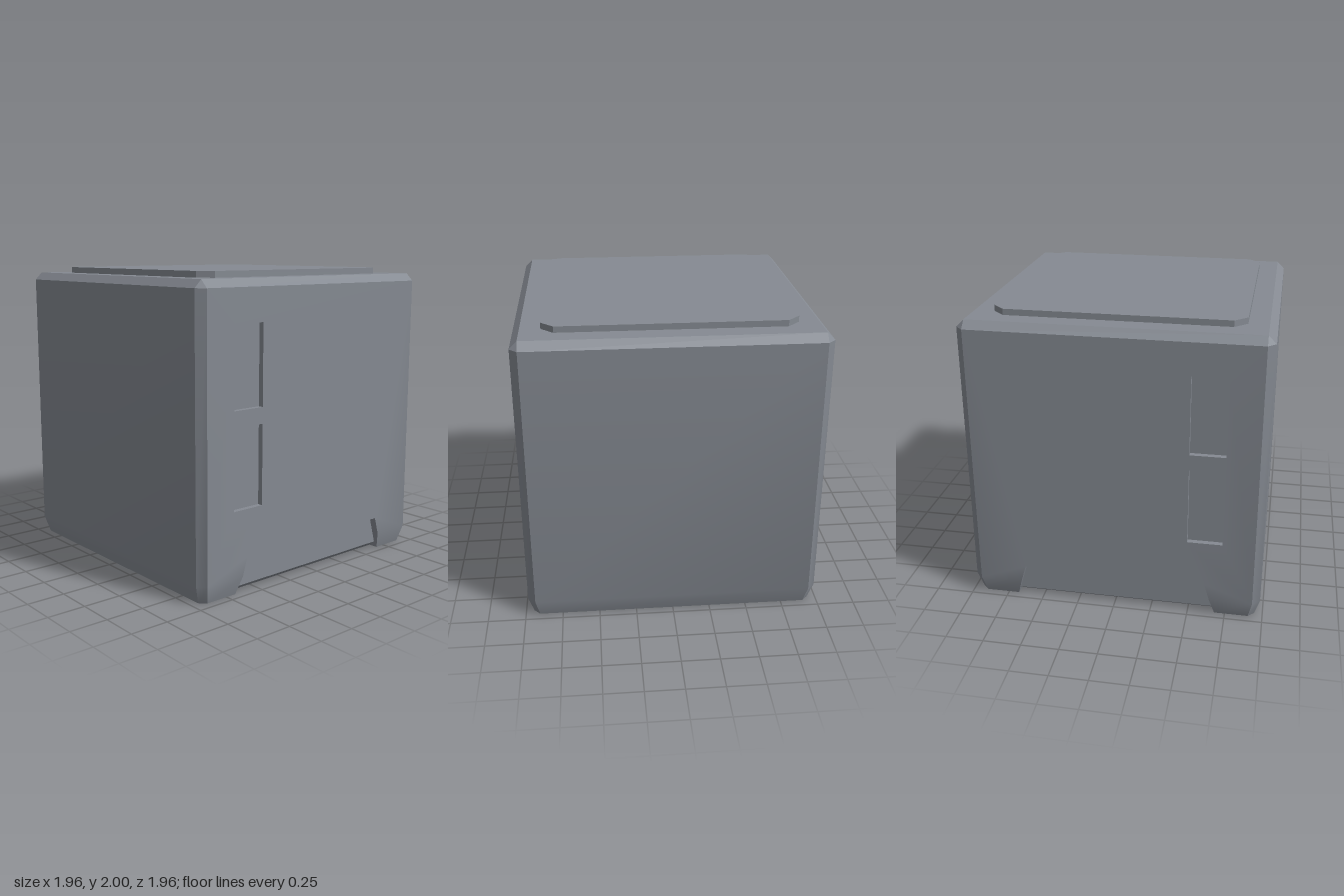
import * as THREE from 'three';
import { toCreasedNormals } from 'three/addons/utils/BufferGeometryUtils.js';

const HALF = 0.98, FLAT = 0.93;      // body half width, half width between the chamfers
const FOOT = 0.945, FOOT_FLAT = 0.905; // the same at the tapered base
const TAPER_Y = 0.12, SHOULDER_Y = 1.91, TOP_Y = 1.96;
const SLOT_FLOOR = 0.945, NOTCH_WALL = 0.93;

// Fan each polygon into triangles, dropping empty ones
function polyGeometry(polys) {
  const out = [];
  const tri = new THREE.Triangle();
  for (const p of polys) {
    for (let i = 1; i < p.length - 1; i++) {
      tri.set(...[p[0], p[i], p[i + 1]].map((v) => new THREE.Vector3(...v)));
      if (tri.getArea() > 1e-8) out.push(...p[0], ...p[i], ...p[i + 1]);
    }
  }
  const g = new THREE.BufferGeometry();
  g.setAttribute('position', new THREE.Float32BufferAttribute(out, 3));
  return toCreasedNormals(g, 0.35);
}

const mirrorX = (polys) => polys.map((p) => p.map(([x, y, z]) => [-x, y, z]).reverse());
const mirrorZ = (p) => p.map(([x, y, z]) => [x, y, -z]).reverse();

// Point on a side wall: u runs from front to back
const side = (x, u, y) => [x, y, -u];

// Eight-cornered ring of the body at one height
const ring = (y, h, c) =>
  [[h, c], [c, h], [-c, h], [-h, c], [-h, -c], [-c, -h], [c, -h], [h, -c]].map(([x, z]) => [x, y, z]);

// Slot rectangles in the side walls
const slots = [[0.55, 1.07], [1.175, 1.695]].map(([a, b]) =>
  [[-0.72, a], [-0.49, a], [-0.49, b], [-0.72, b]]);

function sideWall() {
  const outline = [[-FLAT, TAPER_Y], [-0.645, TAPER_Y], [-0.61, 0.24], [0.61, 0.24],
    [0.645, TAPER_Y], [FLAT, TAPER_Y], [FLAT, SHOULDER_Y], [-FLAT, SHOULDER_Y]];
  const holes = slots.map((s) => [...s].reverse());
  const vec = (list) => list.map(([u, y]) => new THREE.Vector2(u, y));
  const all = [outline, ...holes].flat();
  const polys = THREE.ShapeUtils.triangulateShape(vec(outline), holes.map(vec))
    .map((f) => f.map((i) => side(HALF, ...all[i])));
  // Tapered feet either side of the notch
  const foot = [side(FOOT, 0.68, 0), side(FOOT, FOOT_FLAT, 0),
    side(HALF, FLAT, TAPER_Y), side(HALF, 0.645, TAPER_Y)];
  polys.push(foot, mirrorZ(foot));
  return polys;
}

function shell() {
  const rings = [ring(0, FOOT, FOOT_FLAT), ring(TAPER_Y, HALF, FLAT),
    ring(SHOULDER_Y, HALF, FLAT), ring(TOP_Y, FLAT, FLAT)];
  const polys = [];
  for (let k = 0; k < 3; k++) {
    for (let i = 0; i < 8; i++) {
      if (k < 2 && (i === 3 || i === 7)) continue; // side walls are made apart
      const j = (i + 1) % 8, lo = rings[k], hi = rings[k + 1];
      polys.push([lo[j], lo[i], hi[i], hi[j]]);
    }
  }
  polys.push([1, 3, 5, 7].map((i) => rings[3][i]).reverse());
  const wall = sideWall();
  return [...polys, ...wall, ...mirrorX(wall)];
}

function underside() {
  const end = [[FOOT, 0, 0.68], ...ring(0, FOOT, FOOT_FLAT).slice(0, 4), [-FOOT, 0, 0.68]];
  const middle = [[0.88, 0, -0.68], [0.88, 0, 0.68], [-0.88, 0, 0.68], [-0.88, 0, -0.68]];
  return [end, mirrorZ(end), middle];
}

function slotRecess(rect) {
  const outer = rect.map((p) => side(HALF, ...p));
  const inner = rect.map((p) => side(SLOT_FLOOR, ...p));
  const walls = outer.map((p, i) => [p, outer[(i + 1) % 4], inner[(i + 1) % 4], inner[i]]);
  return [inner, ...walls];
}

function baseNotch() {
  const w = NOTCH_WALL;
  const end = [[w, 0.04, 0.668], [w, 0.24, 0.61], [HALF, 0.24, 0.61],
    [HALF, TAPER_Y, 0.645], [FOOT, 0, 0.68], [0.88, 0, 0.68]];
  return [
    [side(w, -0.668, 0.04), side(w, 0.668, 0.04), side(w, 0.61, 0.24), side(w, -0.61, 0.24)],
    [side(0.88, -0.68, 0), side(0.88, 0.68, 0), side(w, 0.668, 0.04), side(w, -0.668, 0.04)],
    [[w, 0.24, -0.61], [HALF, 0.24, -0.61], [HALF, 0.24, 0.61], [w, 0.24, 0.61]],
    end, mirrorZ(end),
  ];
}

export function createModel() {
  const group = new THREE.Group();
  group.name = 'chamferedCrate';
  const grey = new THREE.MeshStandardMaterial({ color: 0x858a92 });
  grey.name = 'steelGrey';

  const add = (name, geometry) => {
    const mesh = new THREE.Mesh(geometry, grey);
    mesh.name = name;
    group.add(mesh);
    return mesh;
  };

  add('body', polyGeometry(shell()));
  add('underside', polyGeometry(underside()));

  // Recesses on both sides
  for (const [label, place] of [['left', (p) => p], ['right', mirrorX]]) {
    add(label + 'LowerSlot', polyGeometry(place(slotRecess(slots[0]))));
    add(label + 'UpperSlot', polyGeometry(place(slotRecess(slots[1]))));
    add(label + 'BaseNotch', polyGeometry(place(baseNotch())));
  }

  // Raised lid with cut corners
  const lid = new THREE.Shape(ring(0, 0.8, 0.72).map(([x, , z]) => new THREE.Vector2(x, z)));
  const lidGeometry = new THREE.ExtrudeGeometry(lid, { depth: 2 - TOP_Y, bevelEnabled: false });
  lidGeometry.rotateX(-Math.PI / 2);
  add('topPlate', lidGeometry).position.y = TOP_Y;

  return group;
}
